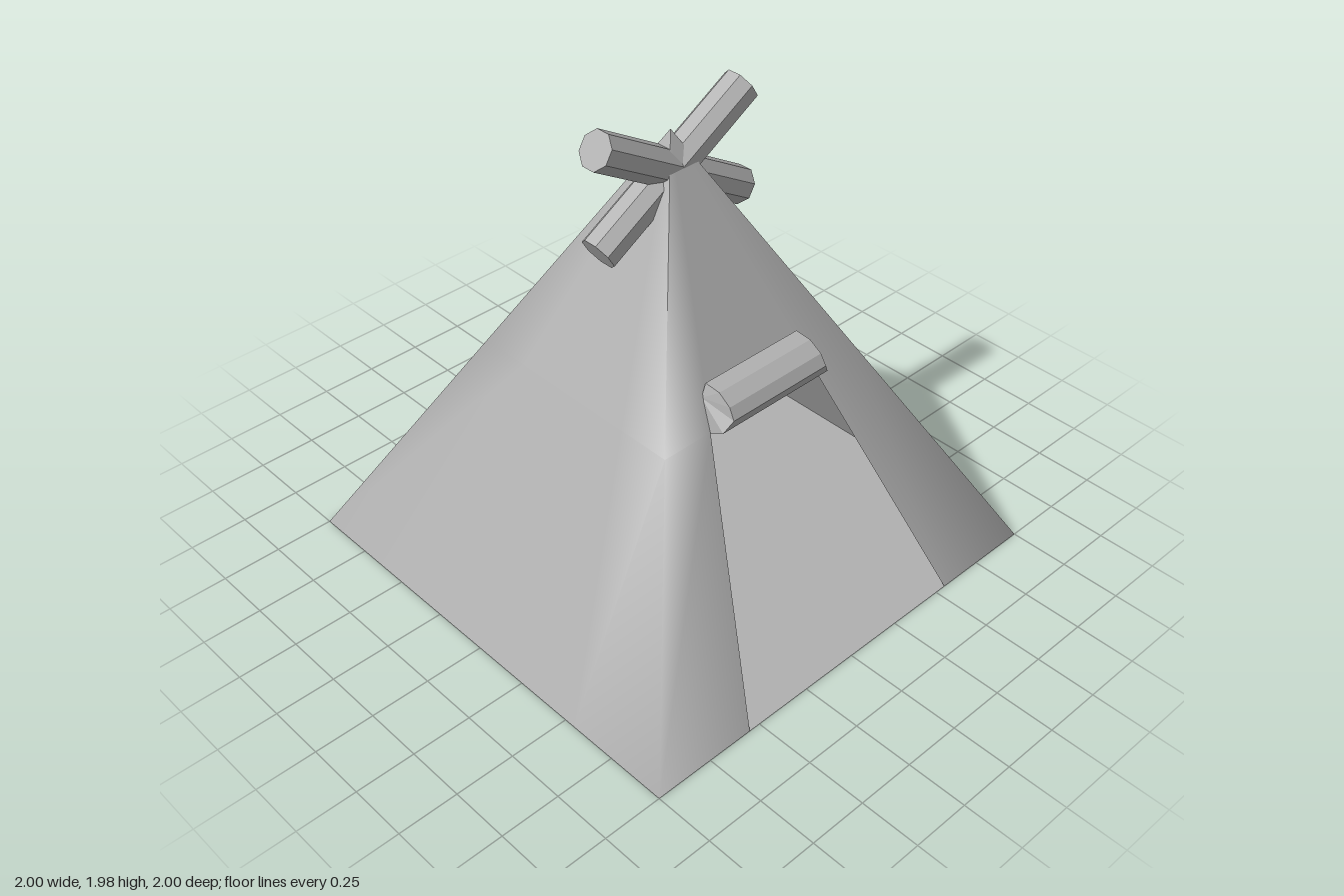
import * as THREE from 'three';

const H = 1.87;      // tip height
const DOOR = 0.55;   // half width of the doorway at the ground
const DOOR_TOP = 0.94;

const canvasGrey = new THREE.MeshStandardMaterial({ color: 0xb0b0b0, side: THREE.DoubleSide });
canvasGrey.name = 'canvasGrey';

function indexed(points, index) {
  const g = new THREE.BufferGeometry();
  g.setAttribute('position', new THREE.Float32BufferAttribute(points.flat(), 3));
  g.setIndex(index);
  g.computeVertexNormals();
  return g;
}

function faceted(geometry) {
  const g = geometry.toNonIndexed();
  g.computeVertexNormals();
  return g;
}

function part(name, geometry) {
  const m = new THREE.Mesh(geometry, canvasGrey);
  m.name = name;
  return m;
}

// Four-sided tent skin with softened corners and a doorway in the front side
function tentGeometry() {
  const columns = [];
  for (let side = 0; side < 4; side++) {
    for (const x of [-1, -DOOR, DOOR]) {
      let p = [x, 1];
      for (let k = 0; k < side; k++) p = [p[1], -p[0]];
      columns.push(p);
    }
  }
  const n = columns.length;
  const points = [];
  for (const y of [0, DOOR_TOP, H]) {
    const s = 1 - y / H;
    for (const [x, z] of columns) points.push([x * s, y, z * s]);
  }
  const index = [];
  for (let i = 0; i < n; i++) {
    const j = (i + 1) % n;
    if (i !== 1) index.push(i, j, n + j, i, n + j, n + i); // strip 1 is the doorway
    index.push(n + i, n + j, 2 * n + i);
  }
  return indexed(points, index);
}

// Door flap rolled up above the doorway: [z, y, half width]
function flapGeometry() {
  const profile = [
    [0.43, 1.105, 0.235], [0.50, 1.10, 0.235], [0.555, 1.065, 0.237], [0.58, 1.02, 0.24],
    [0.56, 0.97, 0.273], [0.50, 0.935, 0.275], [0.43, 1.05, 0.255],
  ];
  const n = profile.length;
  const points = [-1, 1].flatMap((s) => profile.map(([z, y, w]) => [s * w, y, z]));
  const index = [];
  for (let i = 0; i < n; i++) {
    const j = (i + 1) % n;
    index.push(i, j, n + j, i, n + j, n + i);
    // end caps fan out from the last profile point
    if (i < n - 2) index.push(n + n - 1, n + i, n + j, n - 1, j, i);
  }
  return faceted(indexed(points, index));
}

export function createModel() {
  const model = new THREE.Group();
  model.name = 'tent';

  model.add(part('tentSkin', tentGeometry()));

  const floor = part('floor', new THREE.PlaneGeometry(2, 2));
  floor.rotation.x = -Math.PI / 2;
  model.add(floor);

  model.add(part('rolledDoorFlap', flapGeometry()));

  // Two crossed eight-sided poles near the tip
  const poleGeometry = faceted(
    new THREE.CylinderGeometry(0.076, 0.076, 0.82, 8).rotateY(Math.PI / 8)
  );
  for (const s of [-1, 1]) {
    const pole = part(s < 0 ? 'rightPole' : 'leftPole', poleGeometry);
    pole.position.y = 1.71;
    pole.rotation.z = s * THREE.MathUtils.degToRad(59.2);
    model.add(pole);
  }

  return model;
}
